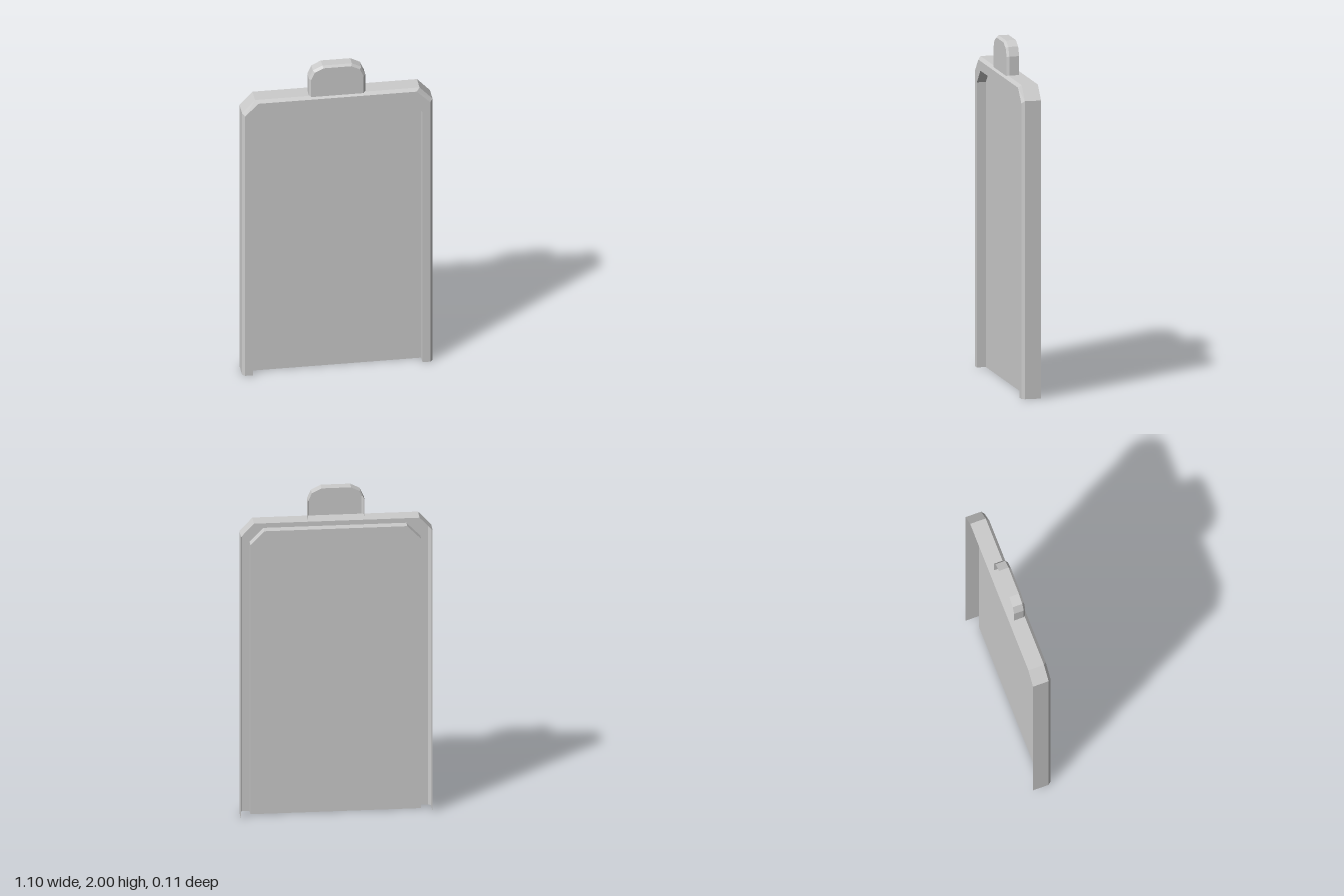
import * as THREE from 'three';

const material = new THREE.MeshStandardMaterial({
  color: 0xcccccc, flatShading: true, side: THREE.DoubleSide,
});

// Open outline with chamfered top: right half from bottom to top, mirrored to the left
function outline(half, z) {
  const left = half.slice().reverse().map(([x, y]) => [-x, y]);
  return [...half, ...left].map(([x, y]) => new THREE.Vector3(x, y, z));
}

// Strip of quads joining consecutive outlines; the first lies furthest back outside
function loft(name, sections) {
  const points = [];
  for (let s = 0; s < sections.length - 1; s++) {
    const a = sections[s], b = sections[s + 1];
    for (let i = 0; i < a.length - 1; i++) {
      points.push(a[i], a[i + 1], b[i + 1], a[i], b[i + 1], b[i]);
    }
  }
  const geometry = new THREE.BufferGeometry().setFromPoints(points);
  geometry.computeVertexNormals();
  const mesh = new THREE.Mesh(geometry, material);
  mesh.name = name;
  return mesh;
}

// Flat sheet filling an outline
function sheet(name, section) {
  const shape = new THREE.Shape(section.map((p) => new THREE.Vector2(p.x, p.y)));
  const mesh = new THREE.Mesh(new THREE.ShapeGeometry(shape), material);
  mesh.position.z = section[0].z;
  mesh.name = name;
  return mesh;
}

export function createModel() {
  const group = new THREE.Group();
  group.name = 'panelWithTab';

  // Frame: outer wall, bevel, front rim and inner wall, open at back and bottom
  const outer = [[0.55, 0], [0.55, 1.73], [0.475, 1.81]];
  const bevel = [[0.535, 0], [0.535, 1.715], [0.457, 1.793]];
  const inner = [[0.49, 0], [0.49, 1.655], [0.41, 1.737]];
  const innerBack = outline(inner, 0.002);
  group.add(loft('frame', [
    outline(outer, -0.057), outline(outer, 0.038),
    outline(bevel, 0.055), outline(inner, 0.055), innerBack,
  ]));

  // Recessed panel
  group.add(sheet('panel', innerBack));

  // Hollow top tab, its foot reaching just through the frame's top wall
  const tabOuter = [[0.163, 1.785], [0.163, 1.92], [0.14, 1.972], [0.085, 2]];
  const tabInner = [[0.152, 1.785], [0.152, 1.915], [0.13, 1.963], [0.08, 1.988]];
  const tabFront = outline(tabInner, 0.044);
  const tab = new THREE.Group();
  tab.name = 'tab';
  tab.add(
    loft('tabRim', [outline(tabOuter, -0.027), outline(tabOuter, 0.031), tabFront]),
    sheet('tabFace', tabFront),
  );
  group.add(tab);

  return group;
}
